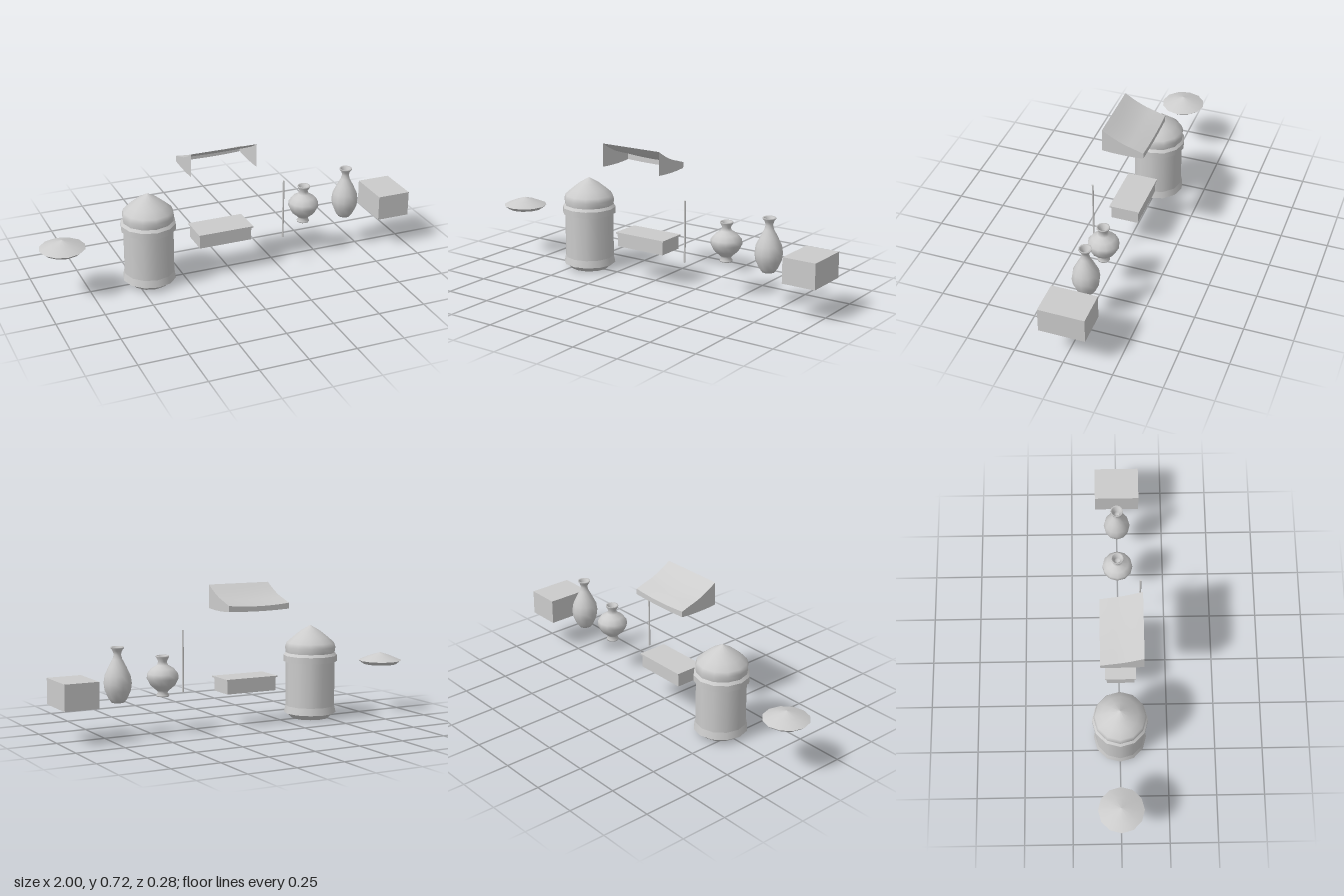
import * as THREE from 'three';

const grey = new THREE.MeshStandardMaterial({ color: 0xcccccc });
const greyThin = new THREE.MeshStandardMaterial({ color: 0xcccccc, side: THREE.DoubleSide });

function add(parent, name, geometry, x = 0, y = 0, z = 0, material = grey) {
  const mesh = new THREE.Mesh(geometry, material);
  mesh.name = name;
  mesh.position.set(x, y, z);
  parent.add(mesh);
  return mesh;
}

// Turned part; the profile is [radius, height] from bottom to top
function turned(parent, name, x, profile, sides = 12, material = grey) {
  const points = profile.map(([r, y]) => new THREE.Vector2(r, y));
  return add(parent, name, new THREE.LatheGeometry(points, sides), x, 0, 0, material);
}

// Box given by its limits on each axis
function block(parent, name, [x0, x1], [y0, y1], [z0, z1]) {
  const box = new THREE.BoxGeometry(x1 - x0, y1 - y0, z1 - z0);
  return add(parent, name, box, (x0 + x1) / 2, (y0 + y1) / 2, (z0 + z1) / 2);
}

// Grid surface from a function of two 0..1 parameters
function sheet(parent, name, nu, nv, point) {
  const geometry = new THREE.PlaneGeometry(1, 1, nu, nv);
  const pos = geometry.attributes.position;
  for (let i = 0; i < pos.count; i++) {
    pos.setXYZ(i, ...point(pos.getX(i) + 0.5, 0.5 - pos.getY(i)));
  }
  geometry.computeVertexNormals();
  return add(parent, name, geometry, 0, 0, 0, greyThin);
}

function buildJar() {
  const jar = new THREE.Group();
  jar.name = 'domedJar';
  const x = -0.433;
  // Separate rings keep the edges between them sharp
  turned(jar, 'jarBottom', x, [[0, 0], [0.101, 0]]);
  turned(jar, 'jarBase', x, [[0.101, 0], [0.128, 0.028]]);
  turned(jar, 'jarBaseLip', x, [[0.128, 0.028], [0.138, 0.028]]);
  turned(jar, 'jarFlare', x, [[0.138, 0.028], [0.13, 0.066]]);
  turned(jar, 'jarBody', x, [[0.13, 0.066], [0.13, 0.303]]);
  turned(jar, 'bandUnderside', x, [[0.13, 0.303], [0.142, 0.303]]);
  turned(jar, 'band', x, [[0.142, 0.303], [0.142, 0.336]]);
  turned(jar, 'bandTop', x, [[0.142, 0.336], [0.13, 0.35]]);
  turned(jar, 'dome', x, [
    [0.13, 0.35], [0.134, 0.38], [0.126, 0.403], [0.094, 0.431], [0.053, 0.464], [0, 0.495],
  ]);
  return jar;
}

function buildAwning() {
  const awning = new THREE.Group();
  awning.name = 'awning';
  const [x0, x1, front, back, hem] = [-0.243, 0.107, 0.122, -0.095, 0.6];
  // Height of the cloth from the front edge to the rear edge
  const slope = new THREE.CatmullRomCurve3(
    [[front, 0.722], [0.068, 0.69], [0.01, 0.663], [-0.045, 0.646], [back, 0.63]]
      .map(([z, y]) => new THREE.Vector3(0, y, z)));
  const sag = (t) => 4 * t * (1 - t);
  const across = (u) => x0 + (x1 - x0) * u;

  sheet(awning, 'awningCloth', 8, 10, (u, v) => {
    const p = slope.getPoint(v);
    return [across(u), p.y - 0.009 * v * sag(u), p.z];
  });
  sheet(awning, 'rearValance', 8, 1, (u, v) => {
    const top = 0.63 - 0.009 * sag(u);
    const bottom = hem - 0.005 * sag(u);
    return [across(u), top + (bottom - top) * v, back];
  });
  for (const x of [x0, x1]) {
    sheet(awning, 'sideFlap', 10, 1, (u, v) => {
      const p = slope.getPoint(u);
      return [x, p.y + (hem - 0.005 * sag(u) - p.y) * v, p.z];
    });
  }
  return awning;
}

export function createModel() {
  const model = new THREE.Group();
  model.name = 'marketStallSet';

  // Shallow conical lid
  const lid = new THREE.Group();
  lid.name = 'conicalLid';
  turned(lid, 'lidUnderside', -0.883, [[0, 0.257], [0.093, 0.257]]);
  turned(lid, 'lidEdge', -0.883, [[0.093, 0.257], [0.117, 0.276]]);
  turned(lid, 'lidTop', -0.883, [[0.117, 0.276], [0.06, 0.3], [0, 0.319]]);
  model.add(lid);

  model.add(buildJar(), buildAwning());

  // Counter with a thin overhanging top
  block(model, 'counterBody', [-0.184, 0.1], [0.174, 0.243], [-0.065, 0.08]);
  block(model, 'counterTop', [-0.19, 0.108], [0.243, 0.251], [-0.073, 0.088]);

  // Thin upright pole
  add(model, 'pole', new THREE.CylinderGeometry(0.005, 0.005, 0.32, 8), 0.262, 0.335, 0.117);

  // Round vase with a foot
  turned(model, 'roundVase', 0.433, [
    [0, 0.184], [0.032, 0.184], [0.033, 0.19], [0.024, 0.205], [0.035, 0.217], [0.062, 0.24],
    [0.08, 0.275], [0.078, 0.3], [0.058, 0.325], [0.028, 0.343], [0.021, 0.36], [0.034, 0.384],
    [0.033, 0.39], [0.027, 0.388], [0.015, 0.362], [0.015, 0.34], [0, 0.34],
  ], 12, greyThin);

  // Tall bottle-shaped vase
  turned(model, 'tallVase', 0.677, [
    [0, 0.174], [0.033, 0.174], [0.048, 0.195], [0.065, 0.235], [0.07, 0.27], [0.064, 0.31],
    [0.044, 0.352], [0.024, 0.39], [0.018, 0.412], [0.023, 0.43], [0.034, 0.444],
    [0.033, 0.45], [0.026, 0.447], [0.014, 0.415], [0.014, 0.39], [0, 0.39],
  ], 12, greyThin);

  // Plain crate
  block(model, 'crate', [0.822, 1], [0.172, 0.304], [-0.116, 0.12]);

  return model;
}
